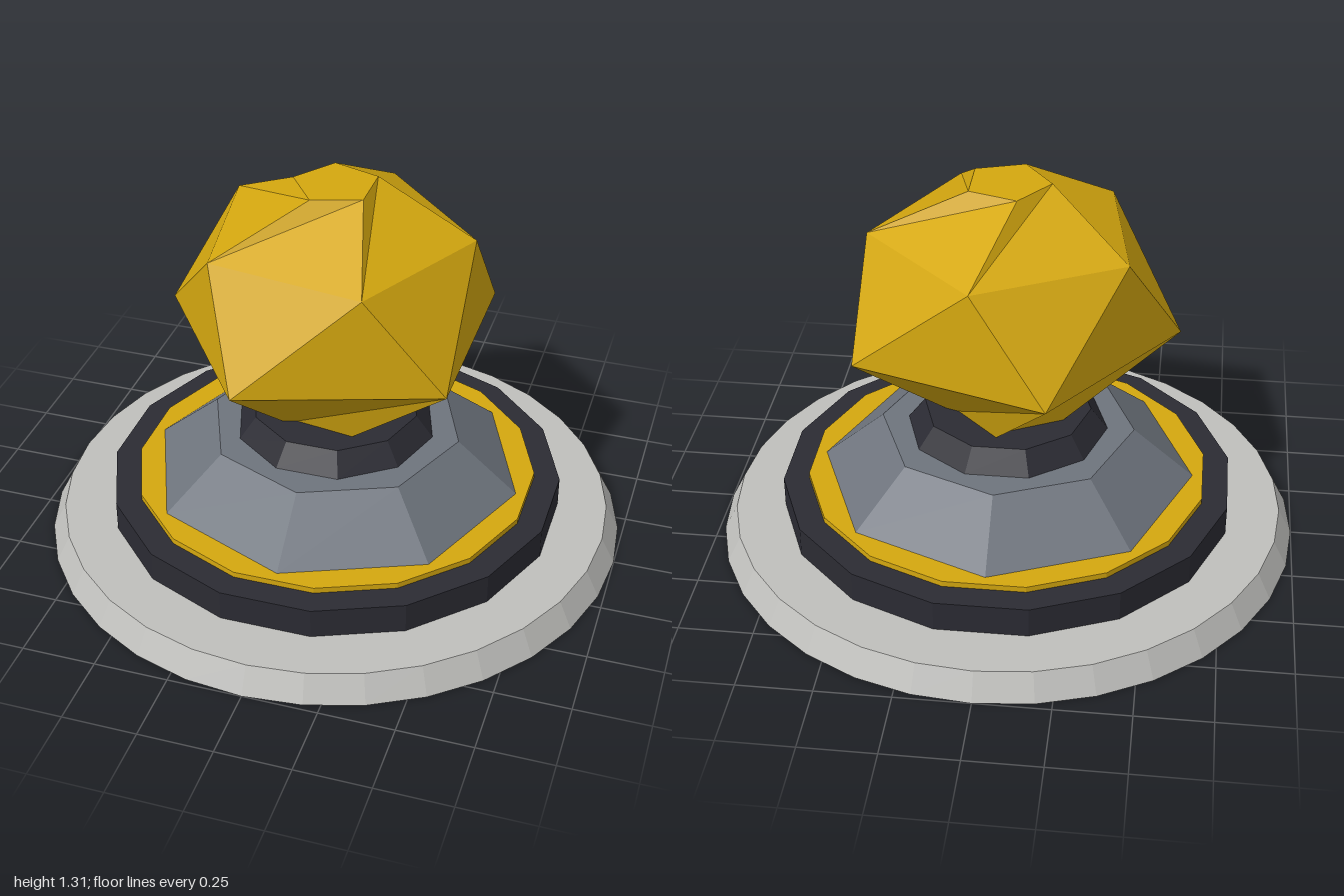
import * as THREE from 'three';

const mat = (name, color) => {
  const m = new THREE.MeshStandardMaterial({ color });
  m.name = name;
  return m;
};

// Faceted tier of the pedestal, from y0 to y1
function tier(name, material, sides, rBottom, rTop, y0, y1, turn = 0) {
  const geo = new THREE.CylinderGeometry(rTop, rBottom, y1 - y0, sides, 1, false, turn).toNonIndexed();
  geo.computeVertexNormals();
  const mesh = new THREE.Mesh(geo, material);
  mesh.position.y = (y0 + y1) / 2;
  mesh.name = name;
  return mesh;
}

// Nugget: twisted five-sided rings joined by triangle strips
function nuggetGeometry() {
  const n = 5;
  const rings = [ // radius, height, start angle in degrees
    [0.19, 0.44, 63],
    [0.577, 0.79, 36],
    [0.457, 1.135, 63],
    [0.144, 1.308, 36],
  ];
  const pos = [];
  for (const [r, y, start] of rings) {
    for (let k = 0; k < n; k++) {
      const a = THREE.MathUtils.degToRad(start + (360 / n) * k);
      pos.push(r * Math.cos(a), y, r * Math.sin(a));
    }
  }
  const index = [];
  for (let i = 0; i < rings.length - 1; i++) {
    for (let k = 0; k < n; k++) {
      const next = (k + 1) % n;
      const lo = i * n, up = lo + n;
      index.push(lo + k, up + k, lo + next, up + k, up + next, lo + next);
    }
  }
  // Flat caps
  const top = (rings.length - 1) * n;
  for (let k = 1; k < n - 1; k++) {
    index.push(0, k, k + 1, top, top + k + 1, top + k);
  }
  const geo = new THREE.BufferGeometry();
  geo.setAttribute('position', new THREE.Float32BufferAttribute(pos, 3));
  geo.setIndex(index);
  const flat = geo.toNonIndexed();
  flat.computeVertexNormals();
  return flat;
}

export function createModel() {
  const stone = mat('paleStone', 0xbfbfbc);
  const dark = mat('darkMetal', 0x2b2b33);
  const slate = mat('slate', 0x6e747d);
  const gold = mat('gold', 0xd4a70f);

  const model = new THREE.Group();
  model.name = 'nuggetOnPedestal';
  model.add(
    tier('basePlate', stone, 32, 1, 0.953, 0, 0.09),
    tier('darkPlinth', dark, 16, 0.783, 0.783, 0.09, 0.195, Math.PI / 16),
    tier('goldTrim', gold, 16, 0.694, 0.694, 0.195, 0.215, Math.PI / 16),
    tier('slatePedestal', slate, 8, 0.645, 0.437, 0.215, 0.39),
    tier('collar', dark, 10, 0.345, 0.287, 0.39, 0.465, Math.PI / 2),
  );

  const nugget = new THREE.Mesh(nuggetGeometry(), gold);
  nugget.name = 'nugget';
  model.add(nugget);
  return model;
}
